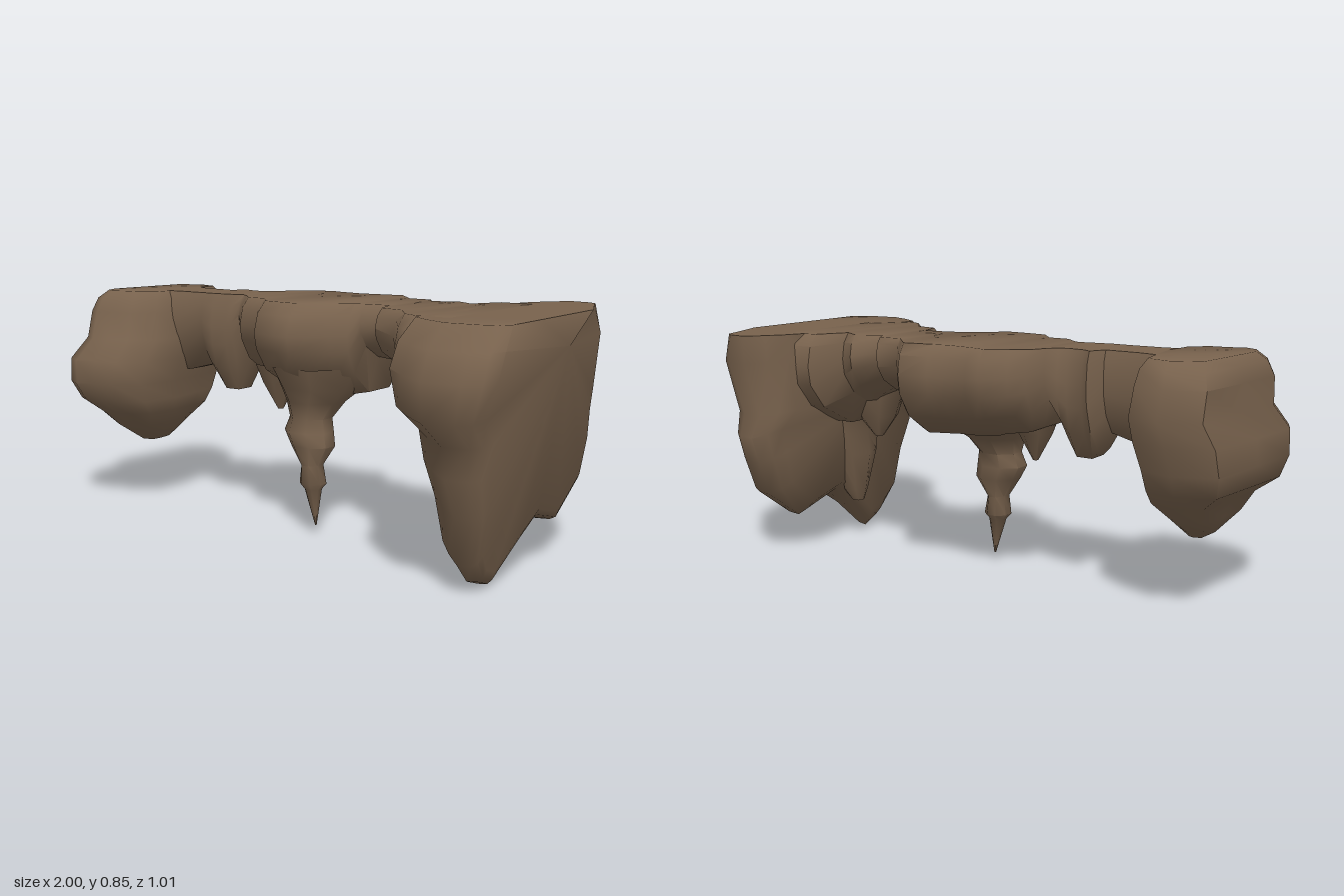
import * as THREE from 'three';
import { toCreasedNormals } from 'three/addons/utils/BufferGeometryUtils.js';

const TOP = 0.85;

// Skin a list of equal-length closed rings; a cap is a centre point to fan to, or null to leave it open.
function loft(rings, startCap, endCap) {
  const n = rings[0].length, pos = rings.flat(2), index = [];
  const last = (rings.length - 1) * n, a = pos.length / 3;
  if (startCap) pos.push(...startCap);
  const b = pos.length / 3;
  if (endCap) pos.push(...endCap);
  for (let i = 0; i < n; i++) {
    const j = (i + 1) % n;
    for (let k = 0; k < last; k += n) index.push(k + i, k + j, k + n + i, k + j, k + n + j, k + n + i);
    if (startCap) index.push(a, j, i);
    if (endCap) index.push(b, last + i, last + j);
  }
  const g = new THREE.BufferGeometry();
  g.setAttribute('position', new THREE.Float32BufferAttribute(pos, 3));
  g.setIndex(index);
  return toCreasedNormals(g, 1);
}

// Horizontal slices [y, x0, x1, z0, z1], top first, each a stretched copy of a plan outline in -1..1.
function slices(list, plan, cappedTop) {
  const mid = ([y, x0, x1, z0, z1]) => [(x0 + x1) / 2, y, (z0 + z1) / 2];
  const rings = list.map(s => plan.map(([u, v]) => {
    const [cx, y, cz] = mid(s);
    return [cx + u * (s[2] - s[1]) / 2, y, cz + v * (s[4] - s[3]) / 2];
  }));
  return loft(rings, cappedTop ? mid(list[0]) : null, mid(list[list.length - 1]));
}

const circle = n => Array.from({ length: n }, (_, i) => {
  const t = (i + 0.5) / n * Math.PI * 2;
  return [Math.cos(t), Math.sin(t)];
});

// Linear lookup in a table of [y, value], y descending.
function lookup(table, y) {
  const i = Math.max(1, table.findIndex(row => y >= row[0]));
  const [ya, a] = table[i - 1], [yb, b] = table[i];
  return a + (b - a) * (ya - y) / (ya - yb);
}

export function createModel() {
  const group = new THREE.Group();
  const rock = new THREE.MeshStandardMaterial({ color: 0x78624d });
  rock.name = 'brown rock';
  const add = (name, geometry) => {
    const mesh = new THREE.Mesh(geometry, rock);
    mesh.name = name;
    group.add(mesh);
  };

  // Ceiling bridge: sections [x, back z, front z, bottom y]
  const section = [[0.78, 0], [0.93, 0.13], [1, 0.34], [0.96, 0.52], [0.77, 0.77], [0.32, 1],
    [-0.32, 1], [-0.77, 0.77], [-0.97, 0.52], [-1, 0.32], [-0.96, 0.12], [-0.86, 0]];
  const bridge = [
    [-0.74, -0.22, 0.04, 0.54], [-0.62, -0.19, 0.02, 0.54], [-0.5, -0.18, 0.02, 0.57],
    [-0.47, -0.24, 0.03, 0.51], [-0.44, -0.22, 0.03, 0.48], [-0.38, -0.21, 0.02, 0.48],
    [-0.35, -0.22, 0.02, 0.54], [-0.32, -0.25, 0.01, 0.63], [-0.29, -0.32, 0.04, 0.58],
    [-0.24, -0.35, 0.1, 0.56], [-0.16, -0.4, 0.11, 0.55], [-0.1, -0.385, 0.19, 0.53],
    [0, -0.37, 0.205, 0.52], [0.06, -0.38, 0.21, 0.52], [0.17, -0.39, 0.12, 0.52],
    [0.22, -0.33, 0.08, 0.53], [0.26, -0.28, 0.06, 0.66], [0.35, -0.28, 0.05, 0.65],
    [0.38, -0.23, 0.15, 0.66], [0.47, -0.28, 0.18, 0.61], [0.54, -0.24, 0.28, 0.56],
    [0.6, -0.36, 0.33, 0.5], [0.72, -0.36, 0.33, 0.5]];
  add('ceilingBridge', loft(bridge.map(([x, zb, zf, yb]) => section.map(([u, v]) =>
    [x, TOP - v * (TOP - yb), (zb + zf) / 2 + u * (zf - zb) / 2])), null, null));

  // Large end wall: a side outline [z, y] swept across, tapering to both faces
  const outline = [[-0.5, 0.85], [-0.3, 0.85], [-0.08, 0.85], [0.16, 0.85],
    [0.38, 0.85], [0.48, 0.78], [0.51, 0.69], [0.51, 0.57], [0.43, 0.49], [0.42, 0.39],
    [0.36, 0.26], [0.32, 0.1], [0.25, 0.03], [0.17, 0], [0.06, 0.11], [-0.04, 0.18], [-0.22, 0.13],
    [-0.37, 0.24], [-0.42, 0.37], [-0.46, 0.47], [-0.43, 0.55], [-0.5, 0.75]];
  const inner = [[0.85, 0.62], [0.7, 0.6], [0.58, 0.63], [0.5, 0.68], [0.35, 0.71], [0.15, 0.73], [0, 0.75]];
  const outer = [[0.85, 0.965], [0.78, 0.99], [0.68, 0.985], [0.58, 0.955], [0.4, 0.94], [0.2, 0.905],
    [0.05, 0.87], [0, 0.85]];
  const sweep = [[0, 0.76], [0.2, 0.89], [0.45, 1], [0.78, 0.98], [0.93, 0.93], [1, 0.84]];
  add('endWall', loft(sweep.map(([t, s]) => outline.map(([z, y]) => {
    const depth = (TOP - y) / TOP, back = (Math.max(0, -z - 0.28) / 0.22) ** 2;
    const x0 = lookup(inner, y) + 0.06 * back * (1 - depth), x1 = lookup(outer, y) - 0.07 * back;
    return [x0 + (x1 - x0) * t, TOP - (TOP - y) * (1 - (1 - s) * 0.35), z * (s + (1 - s) * depth * 0.8)];
  })), [0.65, 0.55, 0], [1, 0.76, 0]));

  // Rounded end mass on the other side
  const boulder = [[-0.67, -0.82], [0.06, -1], [0.72, -0.88], [0.85, -0.5], [1, 0.1], [0.9, 0.65],
    [0.45, 0.88], [-0.1, 0.91], [-0.45, 1], [-0.83, 0.88], [-1, 0.64], [-0.85, -0.05]];
  add('endBoulder', slices([
    [0.85, -0.92, -0.67, -0.31, 0.14], [0.82, -0.95, -0.65, -0.345, 0.18], [0.77, -0.97, -0.64, -0.37, 0.2],
    [0.67, -0.96, -0.62, -0.37, 0.24], [0.59, -1, -0.62, -0.35, 0.3],
    [0.5, -1, -0.64, -0.32, 0.3], [0.43, -0.98, -0.65, -0.29, 0.26],
    [0.38, -0.91, -0.66, -0.24, 0.21], [0.32, -0.88, -0.71, -0.17, 0.14],
    [0.25, -0.82, -0.76, -0.08, 0.04]], boulder, true));

  // Central funnel narrowing to a long spike
  add('centralStalactite', slices([
    [0.62, -0.17, 0.23, -0.29, 0.17], [0.54, -0.12, 0.19, -0.19, 0.13],
    [0.49, -0.08, 0.14, -0.11, 0.11], [0.43, -0.06, 0.1, -0.06, 0.09],
    [0.38, -0.08, 0.11, -0.06, 0.1], [0.33, -0.05, 0.12, -0.05, 0.1],
    [0.26, 0, 0.075, -0.02, 0.08], [0.19, -0.01, 0.09, -0.02, 0.08],
    [0.17, 0.01, 0.075, 0, 0.065], [0.035, 0.052, 0.058, 0.03, 0.036]], circle(8)));

  // Small stalactites under the ceiling, and a lobe beside the wall
  add('smallStalactite', slices([[0.6, -0.27, -0.07, -0.16, 0.04],
    [0.53, -0.24, -0.11, -0.12, 0.01], [0.43, -0.18, -0.16, -0.06, -0.04]], circle(7)));
  add('sideStalactite', slices([[0.63, 0.43, 0.66, -0.13, 0.08],
    [0.52, 0.47, 0.64, -0.1, 0.05], [0.44, 0.53, 0.56, -0.05, -0.01]], circle(7)));
  add('wallLobe', slices([[0.52, 0.61, 0.78, -0.13, 0.16], [0.44, 0.64, 0.79, -0.11, 0.14],
    [0.35, 0.64, 0.79, -0.07, 0.12], [0.2, 0.67, 0.78, -0.02, 0.08],
    [0.15, 0.69, 0.74, 0.01, 0.06]], circle(7)));

  return group;
}
